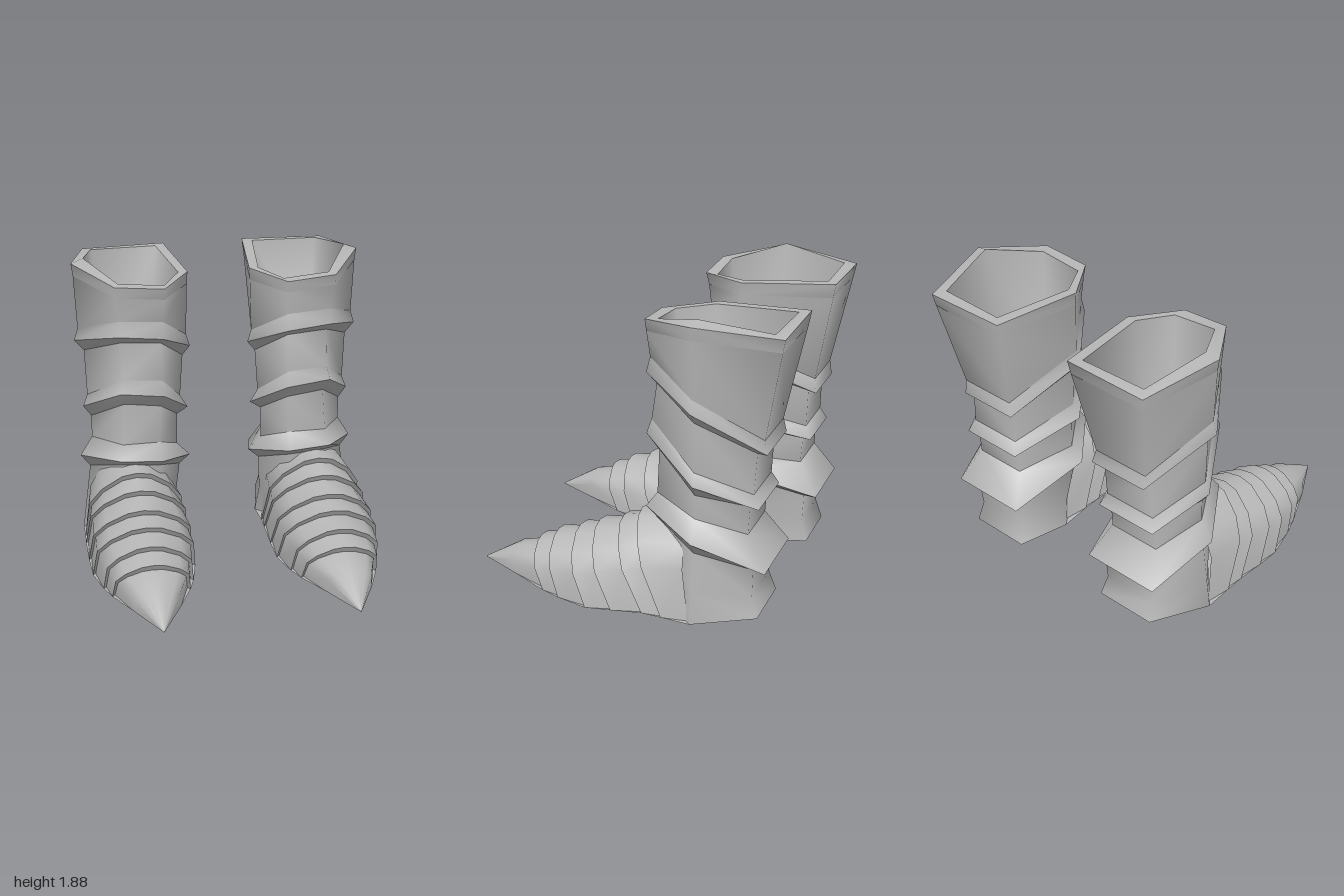
import * as THREE from 'three';

const steel = new THREE.MeshStandardMaterial({ color: 0xb8b8b8, side: THREE.DoubleSide });
steel.name = 'steel grey';

// Smooth skin through rows of points; side = -1 mirrors it in x
function loft(name, rows, closed, side) {
  const n = rows[0].length, index = [];
  const pos = rows.flat().flatMap(([x, y, z]) => [x * side, y, z]);
  for (let i = 0; i < rows.length - 1; i++) {
    for (let j = 0; j < (closed ? n : n - 1); j++) {
      const k = (j + 1) % n;
      const a = i * n + j, b = i * n + k, c = b + n, d = a + n;
      index.push(...(side > 0 ? [a, d, c, a, c, b] : [a, c, d, a, b, c]));
    }
  }
  const geo = new THREE.BufferGeometry();
  geo.setAttribute('position', new THREE.Float32BufferAttribute(pos, 3));
  geo.setIndex(index);
  geo.computeVertexNormals();
  const mesh = new THREE.Mesh(geo, steel);
  mesh.name = name;
  return mesh;
}

// Six-sided leg rings: front inner, front outer, outer side, back outer, back inner, inner side
const well = [[.42, 1.15, -.27], [.65, 1.15, -.27], [.78, 1.15, -.5], [.68, 1.15, -.76], [.42, 1.15, -.76], [.33, 1.15, -.42]];
const wellFloor = well.map(([x, , z]) => [.56 + (x - .56) * .4, 1.02, -.5 + (z + .5) * .4]);
const wellCentre = well.map(() => [.56, 1, -.5]);
const rimIn = [[.38, 1.775, -.21], [.67, 1.8, -.21], [.85, 1.885, -.52], [.76, 1.82, -.93], [.33, 1.82, -.94], [.26, 1.79, -.42]];
const rimOut = [[.39, 1.775, -.13], [.7, 1.8, -.14], [.93, 1.86, -.5], [.81, 1.81, -1], [.27, 1.82, -1], [.2, 1.79, -.42]];
const rimLow = [[.39, 1.7, -.15], [.7, 1.73, -.15], [.92, 1.78, -.5], [.8, 1.73, -.985], [.28, 1.73, -.985], [.205, 1.71, -.42]];
const flare1 = [[.4, 1.55, -.165], [.68, 1.57, -.165], [.905, 1.43, -.5], [.72, 1.17, -.875], [.35, 1.17, -.875], [.215, 1.37, -.42]];
const edge1 = [[.4, 1.445, -.14], [.68, 1.475, -.14], [.93, 1.35, -.5], [.72, 1.08, -.89], [.33, 1.08, -.89], [.19, 1.29, -.42]];
const under1 = [[.41, 1.4, -.2], [.66, 1.42, -.2], [.87, 1.28, -.5], [.71, 1.08, -.83], [.37, 1.08, -.83], [.24, 1.23, -.42]];
const flare2 = [[.41, 1.16, -.165], [.66, 1.18, -.165], [.86, .97, -.5], [.73, .83, -.82], [.38, .83, -.82], [.26, .95, -.42]];
const edge2 = [[.4, 1.06, -.14], [.68, 1.095, -.14], [.89, .89, -.5], [.76, .75, -.86], [.35, .75, -.86], [.21, .865, -.42]];
const under2 = [[.42, .97, -.21], [.65, 1, -.21], [.84, .82, -.5], [.73, .75, -.8], [.39, .75, -.8], [.28, .82, -.42]];
const flare3 = [[.43, .72, -.205], [.67, .72, -.205], [.84, .67, -.5], [.73, .57, -.79], [.39, .57, -.79], [.285, .61, -.42]];
const edge3 = [[.42, .61, -.14], [.69, .63, -.14], [.92, .54, -.5], [.81, .37, -.92], [.31, .37, -.92], [.2, .52, -.42]];
const under3 = [[.43, .56, -.2], [.68, .58, -.2], [.86, .46, -.5], [.74, .35, -.83], [.36, .35, -.83], [.27, .46, -.42]];
const heelMid = [[.45, .2, -.25], [.7, .2, -.25], [.895, .2, -.5], [.72, .16, -.82], [.37, .16, -.82], [.29, .2, -.48]];
const heelBase = [[.45, .04, -.25], [.7, .04, -.25], [.92, .015, -.5], [.74, .03, -.86], [.345, .03, -.86], [.27, .015, -.52]];

// Arched foot section, leaning back towards the ground
const half = [[1, 0], [.93, .55], [.69, .78], [.29, .965]];
const arch = [...half.map(([u, v]) => [-u, v]), [0, 1], ...half.slice().reverse()];
const section = ([zTop, yTop, zBot, yBot, w]) => arch.map(([u, v]) =>
  [.6 + u * w, yBot + (yTop - yBot) * v, zBot + (zTop - zBot) * v]);
// The next plate starts just inside the edge of the one before
const tuck = ([zTop, yTop, zBot, yBot, w]) => [zTop - .02, yTop - .04, zBot - .02, yBot, w - .018];

// Front edges of the foot plates: top z, top y, bottom z, bottom y, half width
const instep = [-.4, .6, -.48, .02, .292];
const plates = [
  [-.08, .57, -.32, .03, .327],
  [.04, .5, -.2, .04, .335],
  [.2, .44, 0, .02, .337],
  [.33, .385, .17, 0, .33],
  [.48, .33, .37, .008, .285],
  [.6, .265, .49, .015, .245],
];
const toe = [[.75, .19, .73, .04, .145], [1, .04, .998, .035, .002]];

function makeBoot(side) {
  const boot = new THREE.Group();
  boot.name = side > 0 ? 'leftBoot' : 'rightBoot';
  const ring = (name, ...rows) => boot.add(loft(name, rows, true, side));
  const strip = (name, ...rows) => boot.add(loft(name, rows, false, side));

  // Leg: opening and three flared cuffs
  ring('bootOpening', wellCentre, wellFloor, well, rimIn);
  ring('topRim', rimIn, rimOut);
  ring('topBand', rimOut, rimLow);
  ring('upperCuff', rimLow, flare1);
  ring('upperCuffFlare', flare1, edge1);
  ring('upperCuffUnderside', edge1, under1);
  ring('middleCuff', under1, flare2);
  ring('middleCuffFlare', flare2, edge2);
  ring('middleCuffUnderside', edge2, under2);
  ring('ankleCuff', under2, flare3);
  ring('ankleCuffFlare', flare3, edge3);
  ring('ankleCuffUnderside', edge3, under3);
  ring('heel', under3, heelMid, heelBase);

  // Foot: overlapping plates with a small step at each edge
  let back = instep;
  for (const front of plates) {
    strip('footPlate', section(back), section(front));
    back = tuck(front);
    strip('footPlateEdge', section(front), section(back));
  }
  strip('toeCap', section(back), ...toe.map(section));

  // Sole
  const heelRows = [[heelBase[3], heelBase[4]], [heelBase[2], heelBase[5]]];
  const footRows = [...plates, ...toe].map(section).map((s) => [s[s.length - 1], s[0]]);
  strip('sole', ...heelRows, ...footRows);
  return boot;
}

export function createModel() {
  const model = new THREE.Group();
  model.name = 'armouredBoots';
  model.add(makeBoot(1), makeBoot(-1));
  return model;
}
